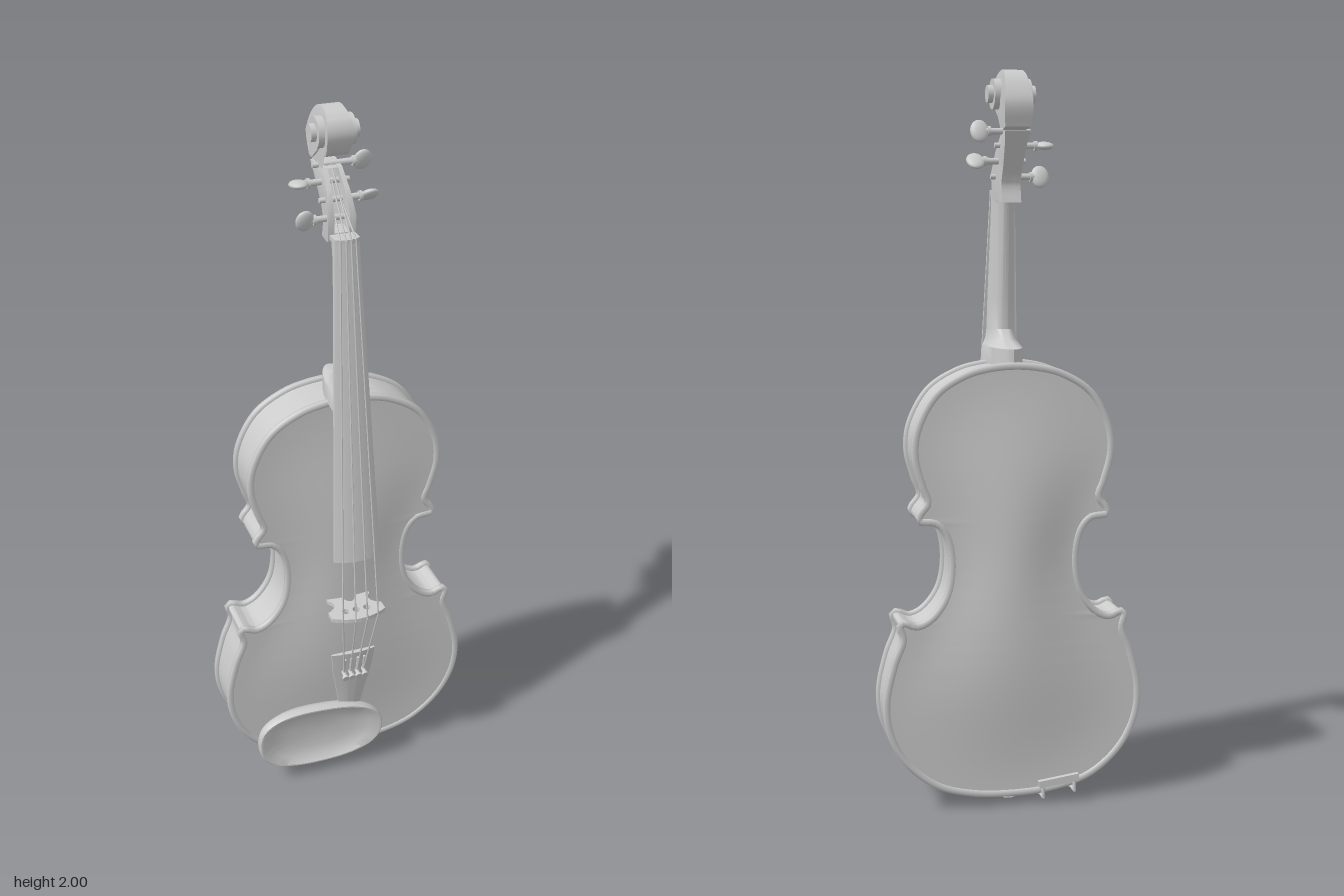
import * as THREE from 'three';
import { toCreasedNormals } from 'three/addons/utils/BufferGeometryUtils.js';

const V = (x, y, z) => new THREE.Vector3(x, y, z);
const mat = new THREE.MeshStandardMaterial({ color: 0xcccccc });
const thin = new THREE.MeshStandardMaterial({ color: 0xcccccc, side: THREE.DoubleSide });

export function createModel() {
  const model = new THREE.Group();
  const add = (name, geo, material = mat) => {
    const mesh = new THREE.Mesh(geo, material);
    mesh.name = name;
    model.add(mesh);
    return mesh;
  };
  const rod = (name, a, b, r, sides = 8, r2 = r) => {
    const m = add(name, new THREE.CylinderGeometry(r2, r, a.distanceTo(b), sides));
    m.position.copy(a).lerp(b, 0.5);
    m.quaternion.setFromUnitVectors(V(0, 1, 0), b.clone().sub(a).normalize());
    return m;
  };
  // Skin a stack of convex rings (counter-clockwise from above), capped at both ends
  const loft = (rings) => {
    const n = rings[0].length, idx = [], last = (rings.length - 1) * n;
    for (let i = 0; i < rings.length - 1; i++) for (let j = 0; j < n; j++) {
      const a = i * n + j, b = i * n + (j + 1) % n;
      idx.push(a, b, a + n, b, b + n, a + n);
    }
    for (let j = 1; j < n - 1; j++) idx.push(0, j + 1, j, last, last + j, last + j + 1);
    const geo = new THREE.BufferGeometry().setFromPoints(rings.flat());
    geo.setIndex(idx);
    return toCreasedNormals(geo, 0.6);
  };
  // Flat front with a rounded back
  const backRing = (y, w, zf, zb) => Array.from({ length: 17 }, (_, i) => {
    const t = Math.PI * i / 16;
    return V(w * Math.cos(t), y, zf - (zf - zb) * Math.sin(t));
  });
  // Flat back with a crowned front
  const frontRing = (y, w, zb, edge, crown) => [V(w, y, zb), V(-w, y, zb),
    ...Array.from({ length: 13 }, (_, i) => {
      const x = w * (i / 6 - 1);
      return V(x, y, zb + edge + crown * (1 - (x / w) ** 2));
    })];

  // Body outline, right half from top to bottom, mirrored
  const half = [[0.07, 1.218], [0.13, 1.202], [0.21, 1.152], [0.262, 1.06], [0.27, 0.985], [0.25, 0.905],
    [0.236, 0.862], [0.258, 0.83], [0.262, 0.813], [0.252, 0.81], [0.215, 0.805], [0.185, 0.77], [0.17, 0.69],
    [0.185, 0.6], [0.23, 0.54], [0.27, 0.523], [0.305, 0.535], [0.315, 0.528], [0.306, 0.49], [0.331, 0.42],
    [0.354, 0.31], [0.342, 0.22], [0.296, 0.138], [0.215, 0.072], [0.115, 0.042]];
  const loop = [V(0, 1.224, 0), ...half.map(([x, y]) => V(x, y, 0)), V(0, 0.034, 0),
    ...half.slice().reverse().map(([x, y]) => V(-x, y, 0))];
  const curve = new THREE.CatmullRomCurve3(loop, true, 'centripetal');
  const outline = curve.getPoints(260);
  const body = new THREE.ExtrudeGeometry(new THREE.Shape(outline.map(p => new THREE.Vector2(p.x, p.y))),
    { depth: 0.14, bevelEnabled: false });
  add('bodyRibs', toCreasedNormals(body.translate(0, 0, -0.11), 0.7));

  const halfWidth = (y) => {
    let w = 0;
    for (let i = 0; i < outline.length - 1; i++) {
      const a = outline[i], b = outline[i + 1];
      if ((a.y - y) * (b.y - y) <= 0 && a.y !== b.y)
        w = Math.max(w, a.x + (b.x - a.x) * (y - a.y) / (b.y - a.y));
    }
    return w;
  };
  const archWidth = new THREE.SplineCurve([[0.03, 0.2], [0.3, 0.33], [0.68, 0.19], [1.0, 0.26], [1.23, 0.16]]
    .map(([y, w]) => new THREE.Vector2(y, w))).getPoints(200);

  // Edge beads and arched plates
  for (const [name, side, zBead, z0, rise] of [['front', 1, 0.025, 0.031, 0.024], ['back', -1, -0.106, -0.111, 0.032]]) {
    const bead = new THREE.TubeGeometry(curve, 260, 0.011, 6, true);
    add(name + 'EdgeBead', bead.translate(0, 0, zBead));
    const arch = new THREE.PlaneGeometry(2, 1, 36, 90), p = arch.attributes.position;
    for (let i = 0; i < p.count; i++) {
      const v = p.getY(i) + 0.5, y = 0.037 + 1.184 * v, x = p.getX(i) * halfWidth(y) * 0.995;
      const w = archWidth.find(q => q.x >= y).y;
      const s = Math.sin(Math.PI * v) ** 2, c = Math.cos(Math.PI / 2 * Math.min(1, Math.abs(x) / w)) ** 2;
      p.setXYZ(i, x, y, z0 + side * rise * (1 - (1 - s) ** 2) * c);
    }
    arch.computeVertexNormals();
    add(name + 'Plate', arch, thin);
  }

  // Neck with heel, fingerboard and nut
  const boardBack = (y) => 0.03 + (1.68 - y) * 0.0985;
  add('neck', loft([[1.08, 0.044, 0.02], [1.22, 0.044, 0.02], [1.222, 0.052, -0.105], [1.268, 0.05, -0.105],
    [1.275, 0.046, -0.07], [1.288, 0.041, -0.03], [1.315, 0.038, -0.003], [1.4, 0.037, -0.003],
    [1.63, 0.032, -0.023], [1.68, 0.032, -0.035]].map(([y, w, zb]) => backRing(y, w, boardBack(y), zb))));
  add('fingerboard', loft([[0.775, 0.067], [1.68, 0.034]].map(([y, w]) =>
    frontRing(y, w, boardBack(y), 0.01, w * 0.22))));
  add('nut', loft([1.678, 1.69].map(y => frontRing(y, 0.034, 0.005, 0.036, 0.01))));

  // Pegbox and scroll: side profiles (z, y) widened towards front and back
  const profile = (name, pts, x0, x1) => {
    const geo = new THREE.ExtrudeGeometry(new THREE.Shape(pts.map(([z, y]) => new THREE.Vector2(z, y))),
      { depth: x1 - x0, steps: 2, bevelEnabled: false }).rotateY(-Math.PI / 2).translate(x1, 0, 0);
    const p = geo.attributes.position;
    for (let i = 0; i < p.count; i++)
      p.setX(i, p.getX(i) * (0.026 + 0.012 * Math.min(1, ((p.getZ(i) + 0.08) / 0.085) ** 2)));
    geo.computeVertexNormals();
    add(name, toCreasedNormals(geo, 0.6));
  };
  const spline = (pts, n) => new THREE.SplineCurve(pts.map(q => new THREE.Vector2(...q)))
    .getPoints(n).map(q => [q.x, q.y]);
  const spine = spline([[-0.148, 1.84], [-0.106, 1.772], [-0.071, 1.71], [-0.079, 1.656]], 18);
  const cheek = [...spine, [-0.032, 1.656], [0, 1.67], [0.005, 1.735],
    ...spline([[-0.021, 1.79], [-0.048, 1.82], [-0.069, 1.84]], 6)];
  profile('pegboxCheek', cheek, 0.55, 1);
  profile('pegboxCheek', cheek, -1, -0.55);
  profile('pegboxBack', [...spine, [0, 1.67], [0, 1.69], [-0.035, 1.7], [-0.072, 1.78], [-0.11, 1.84]], -0.56, 0.56);
  profile('scroll', spline([[-0.069, 1.838], [-0.148, 1.838]], 1).reverse().concat(
    spline([[-0.152, 1.85], [-0.164, 1.915], [-0.127, 1.98], [-0.074, 2.0], [-0.021, 1.98], [-0.005, 1.937],
      [-0.032, 1.886], [-0.065, 1.876], [-0.09, 1.873]], 48)), -1, 1);
  rod('scrollTurn', V(-0.05, 1.938, -0.064), V(0.05, 1.938, -0.064), 0.04, 32);
  rod('scrollEye', V(-0.064, 1.938, -0.064), V(0.064, 1.938, -0.064), 0.023, 24);

  // Pegs and strings
  const pegs = [[-1, 1.725, -0.022, 0.3], [-1, 1.805, -0.07, 1.45], [1, 1.84, -0.098, 0.35], [1, 1.765, -0.045, 0.9]];
  pegs.forEach(([s, y, z, turn], i) => {
    rod('pegShaft', V(-s * 0.045, y, z), V(s * 0.075, y, z), 0.007, 12, 0.009);
    rod('pegCollar', V(s * 0.062, y, z), V(s * 0.07, y, z), 0.013, 16);
    const knob = add('pegKnob', new THREE.SphereGeometry(1, 20, 14));
    knob.scale.set(0.025, 0.031, 0.011);
    knob.position.set(s * 0.091, y, z);
    knob.rotation.x = turn;
    const k = i - 1.5, bow = 0.004 * k * k;
    const path = [V(k * 0.008, y, z + 0.008), V(k * 0.014, 1.688, 0.054 - bow / 2),
      V(k * 0.035, 0.59, 0.168 - bow), V(k * 0.02, 0.365, 0.105)];
    for (let j = 0; j < 3; j++) rod('string', path[j], path[j + 1], 0.0024, 6);
    // Fine tuners on the tailpiece
    rod('fineTunerScrew', V(k * 0.02, 0.365, 0.085), V(k * 0.02, 0.355, 0.122), 0.006, 12);
    rod('fineTunerHead', V(k * 0.02, 0.355, 0.114), V(k * 0.02, 0.353, 0.122), 0.0095, 16);
    rod('fineTunerArm', V(k * 0.02, 0.365, 0.102), V(k * 0.02, 0.415, 0.112), 0.004, 8);
  });

  // Bridge: arched top, waist cut-outs and two feet
  const b = new THREE.Shape();
  b.moveTo(-0.065, 0.045);
  b.lineTo(-0.025, 0.045);
  b.quadraticCurveTo(0, 0.115, 0.025, 0.045);
  b.lineTo(0.065, 0.045);
  b.lineTo(0.062, 0.06);
  b.quadraticCurveTo(0.035, 0.09, 0.08, 0.112);
  b.lineTo(0.08, 0.142);
  b.quadraticCurveTo(0, 0.192, -0.08, 0.142);
  b.lineTo(-0.08, 0.112);
  b.quadraticCurveTo(-0.035, 0.09, -0.062, 0.06);
  for (const x of [-0.032, 0, 0.032])
    b.holes.push(new THREE.Path().absellipse(x, 0.122, 0.01, 0.012, 0, 2 * Math.PI));
  add('bridge', new THREE.ExtrudeGeometry(b, { depth: 0.012, bevelEnabled: false, curveSegments: 12 })
    .rotateX(Math.PI / 2).translate(0, 0.596, 0));

  // Tailpiece, its cord and the end button
  add('tailpiece', loft([[0.11, 0.024, 0.052], [0.22, 0.034, 0.064], [0.3, 0.048, 0.077], [0.36, 0.059, 0.085], [0.43, 0.066, 0.094]]
    .map(([y, w, zb]) => frontRing(y, w, zb, 0.006, 0.008))));
  for (const s of [-1, 1]) {
    const cord = new THREE.CatmullRomCurve3([V(s * 0.012, 0.12, 0.055), V(s * 0.013, 0.04, 0.042),
      V(s * 0.013, 0.018, 0.025), V(s * 0.013, 0.017, -0.03)]);
    add('tailCord', new THREE.TubeGeometry(cord, 20, 0.004, 8));
  }
  add('saddle', new THREE.BoxGeometry(0.05, 0.02, 0.016).translate(0, 0.033, 0.034));
  rod('endButtonNeck', V(0, 0.012, -0.035), V(0, 0.04, -0.035), 0.014, 20);
  rod('endButton', V(0, 0, -0.035), V(0, 0.014, -0.035), 0.024, 24, 0.021);

  // Chin rest: a dished cup with an oval plan
  const cup = new THREE.LatheGeometry([[0, 0.035], [0.72, 0.035], [0.82, 0.045], [0.97, 0.068], [1, 0.078], [1, 0.096],
    [0.98, 0.1], [0.94, 0.1], [0.8, 0.086], [0.5, 0.078], [0, 0.075]].map(q => new THREE.Vector2(...q)), 56);
  cup.rotateX(Math.PI / 2);
  const cp = cup.attributes.position, sq = (c) => Math.sign(c) * Math.abs(c) ** 0.8;
  for (let i = 0; i < cp.count; i++) {
    const x = cp.getX(i), y = cp.getY(i), r = Math.hypot(x, y) || 1, u = sq(x / r) * r, v = sq(y / r) * r;
    cp.setXYZ(i, -0.0975 + 0.1925 * u, 0.14 + v * (0.1 - 0.006 * u) - 0.006 * u, cp.getZ(i));
  }
  add('chinRest', toCreasedNormals(cup, 0.7), thin);

  // Chin rest clamp: two barrels joined by a foot on the back
  for (const [x, y] of [[-0.17, 0.032], [-0.08, 0.02]]) {
    rod('clampRod', V(x, y, -0.125), V(x, y, 0.06), 0.005, 10);
    rod('clampBarrel', V(x, y, -0.075), V(x, y, -0.005), 0.009, 14);
    rod('clampHook', V(x, y, -0.124), V(x, y + 0.04, -0.124), 0.005, 10);
    rod('clampTopHook', V(x, y, 0.055), V(x, y + 0.05, 0.055), 0.005, 10);
  }
  const foot = add('clampFoot', new THREE.BoxGeometry(0.115, 0.02, 0.014));
  foot.position.set(-0.125, 0.064, -0.124);
  foot.rotation.z = -0.13;
  return model;
}
